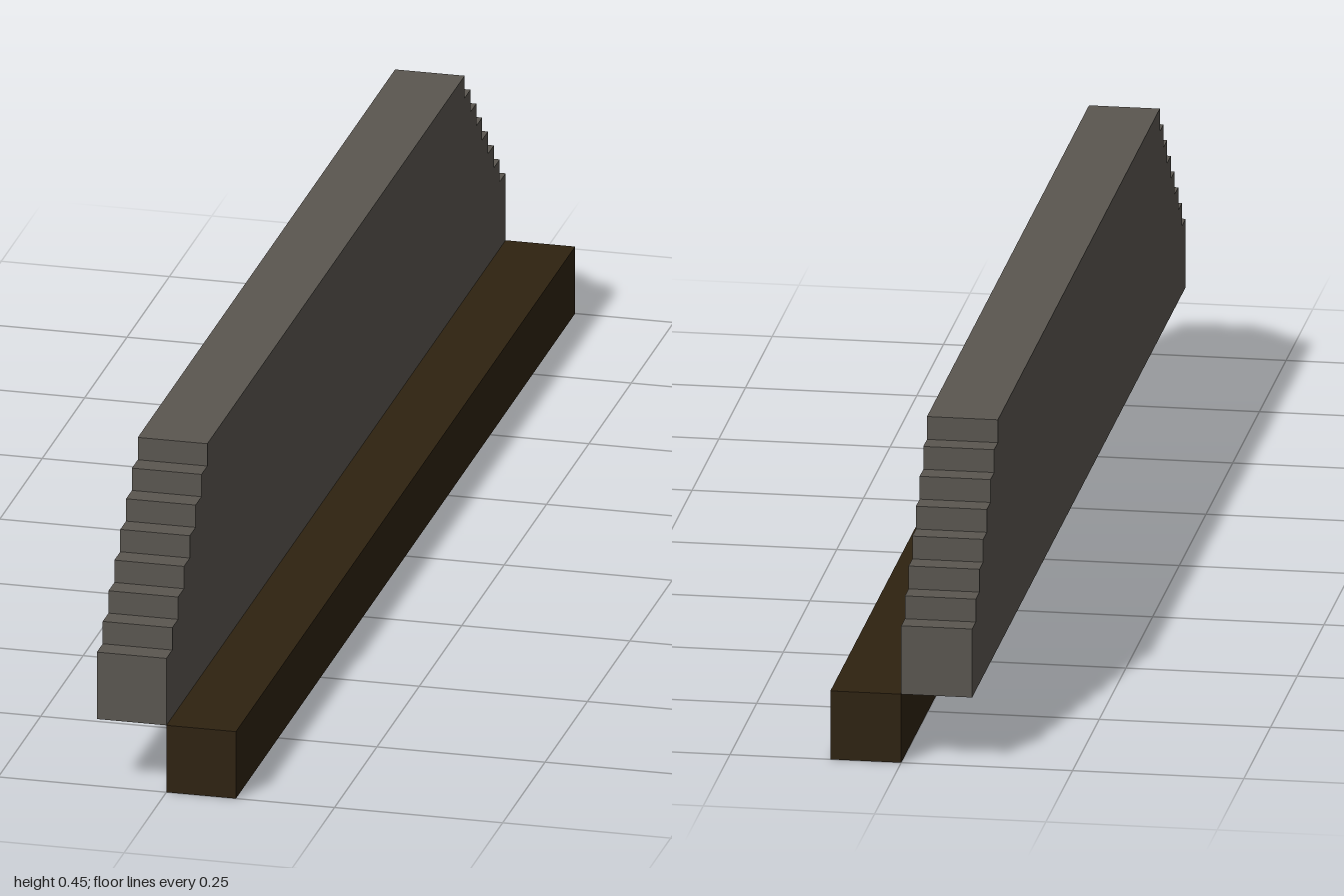
import * as THREE from 'three';

export function createModel() {
  const model = new THREE.Group();
  const stone = new THREE.MeshStandardMaterial({ name: 'greyStone', color: 0x5a5650 });
  const wood = new THREE.MeshStandardMaterial({ name: 'darkWood', color: 0x2e2210 });

  const u = 2 / 58; // one block unit
  const width = 3 * u;
  const steps = 7;

  // Stepped wall profile: drawn along the length, mirrored at both ends
  const right = [[29, 3]];
  for (let i = 0; i <= steps; i++) {
    right.push([29 - i, 6 + i]);
    if (i < steps) right.push([28 - i, 6 + i]);
  }
  const left = right.map(([z, y]) => [-z, y]).reverse();
  const outline = [...right, ...left].map(([z, y]) => new THREE.Vector2(z * u, y * u));
  const wallGeometry = new THREE.ExtrudeGeometry(new THREE.Shape(outline), {
    depth: width, bevelEnabled: false,
  });
  wallGeometry.rotateY(-Math.PI / 2); // length onto z, thickness onto -x
  const wall = new THREE.Mesh(wallGeometry, stone);
  wall.name = 'steppedWall';
  model.add(wall);

  // Square beam along the lower edge
  const beam = new THREE.Mesh(new THREE.BoxGeometry(width, width, 58 * u), wood);
  beam.name = 'baseBeam';
  beam.position.set(width / 2, width / 2, 0);
  model.add(beam);

  return model;
}
